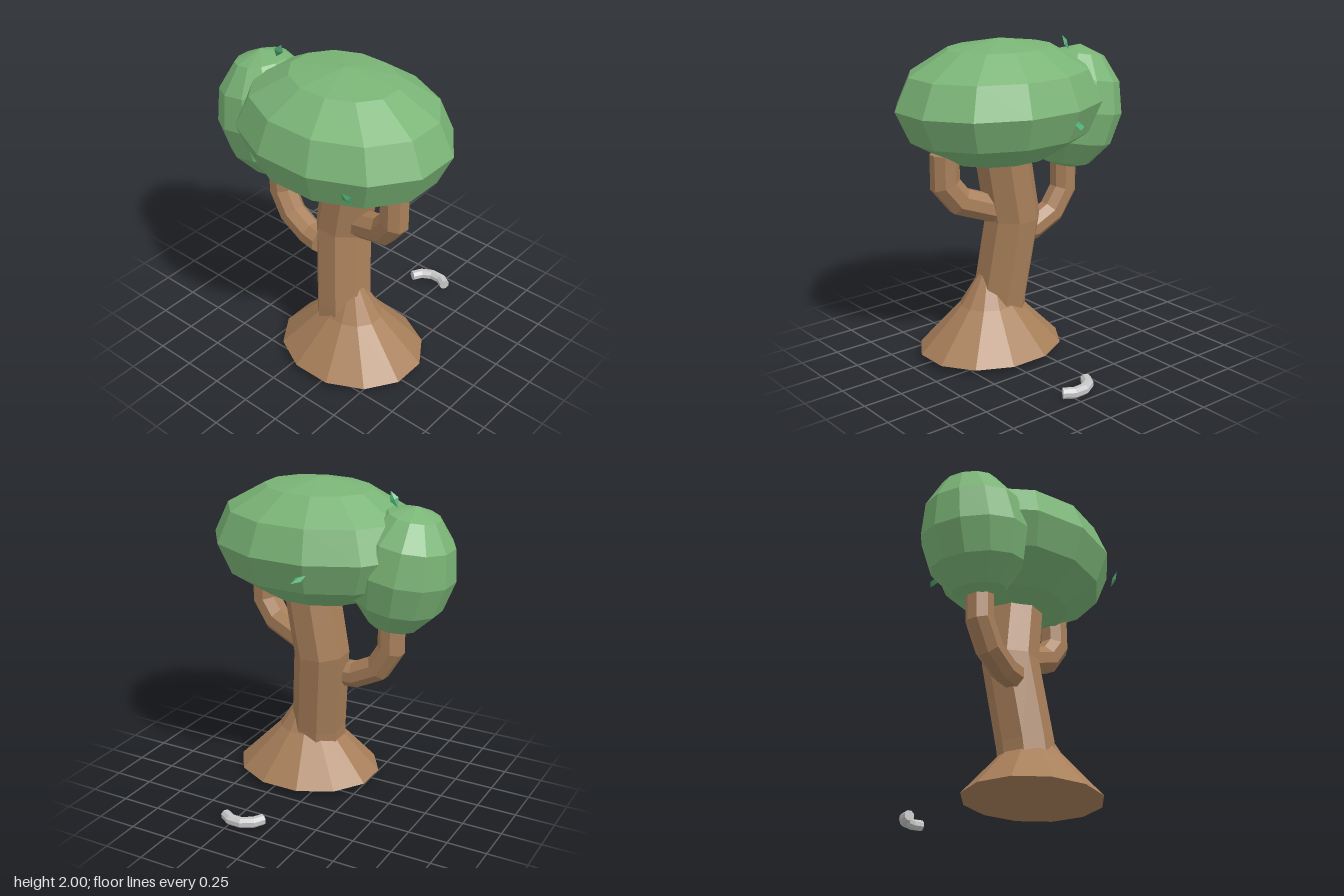
import * as THREE from 'three';

const mat = (name, color) => {
  const m = new THREE.MeshStandardMaterial({ color, flatShading: true });
  m.name = name;
  return m;
};

// Polygonal tube along a polyline: each ring is slid along its segment to the mitre plane of the next joint.
function branchGeometry(path, radius, sides, phase = 0) {
  const pts = path.map(p => new THREE.Vector3(...p));
  const dirs = pts.slice(1).map((p, i) => p.clone().sub(pts[i]).normalize());
  const side = Math.abs(dirs[0].z) > 0.6 ? new THREE.Vector3(0, 1, 0) : new THREE.Vector3(0, 0, 1);
  const u = dirs[0].clone().cross(side).normalize();
  const v = dirs[0].clone().cross(u);
  let ring = [];
  for (let k = 0; k < sides; k++) {
    const a = phase + (k / sides) * Math.PI * 2;
    ring.push(pts[0].clone().addScaledVector(u, Math.cos(a) * radius).addScaledVector(v, Math.sin(a) * radius));
  }
  const pos = [];
  const tri = (...c) => c.forEach(p => pos.push(p.x, p.y, p.z));
  for (let k = 0; k < sides; k++) tri(pts[0], ring[(k + 1) % sides], ring[k]);
  dirs.forEach((d, i) => {
    const end = pts[i + 1];
    const n = d.clone().add(dirs[i + 1] || d).normalize();
    const next = ring.map(p => p.clone().addScaledVector(d, end.clone().sub(p).dot(n) / d.dot(n)));
    for (let k = 0; k < sides; k++) {
      const j = (k + 1) % sides;
      tri(ring[k], ring[j], next[j]);
      tri(ring[k], next[j], next[k]);
    }
    ring = next;
  });
  const last = pts[pts.length - 1];
  for (let k = 0; k < sides; k++) tri(last, ring[k], ring[(k + 1) % sides]);
  const g = new THREE.BufferGeometry();
  g.setAttribute('position', new THREE.Float32BufferAttribute(pos, 3));
  g.computeVertexNormals();
  return g;
}

export function createModel() {
  const bark = mat('bark brown', 0xa87f5a);
  const foliage = mat('foliage green', 0x7ab476);
  const leafGreen = mat('leaf green', 0x4fae76);
  const grey = mat('light grey', 0xc6c6c6);

  const group = new THREE.Group();
  group.name = 'tree';
  const add = (name, geometry, material, position = [0, 0, 0], rotation = [0, 0, 0]) => {
    const m = new THREE.Mesh(geometry, material);
    m.name = name;
    m.position.set(...position);
    m.rotation.set(...rotation);
    group.add(m);
    return m;
  };

  // Flared root base: wide skirt, then a steeper neck that sinks into the trunk
  const base = new THREE.LatheGeometry(
    [[0, 0.04], [0.478, 0.04], [0.2, 0.32], [0.07, 0.52], [0, 0.52]].map(p => new THREE.Vector2(...p)), 12);
  base.rotateY(Math.PI / 12);
  base.scale(1, 1, 0.87);
  add('rootBase', base, bark, [0.185, 0, 0.2]);

  // Bent trunk
  add('trunk', branchGeometry(
    [[0.115, 0.24, 0.205], [0.11, 0.36, 0.195], [0.055, 0.89, 0.13], [0.145, 1.4, 0.13]],
    0.175, 8, Math.PI / 8), bark);

  // Side branches
  add('rightBranch', branchGeometry(
    [[-0.06, 0.74, 0.21], [-0.16, 0.75, 0.2], [-0.315, 0.83, 0.19], [-0.405, 0.975, 0.18], [-0.405, 1.25, 0.18]],
    0.085, 8, Math.PI / 8), bark);
  add('leftBranch', branchGeometry(
    [[0.12, 0.945, 0.14], [0.22, 0.965, 0.15], [0.415, 1.035, 0.19], [0.505, 1.15, 0.21], [0.505, 1.34, 0.21]],
    0.09, 8, Math.PI / 8), bark);

  // Leafy crowns: faceted spheres, the smaller one leaning outward
  const crown = (rx, ry, rz) => new THREE.SphereGeometry(1, 12, 6).rotateY(Math.PI / 12).scale(rx, ry, rz);
  add('mainCrown', crown(0.69, 0.39, 0.55), foliage, [0.105, 1.61, 0.18]);
  add('sideCrown', crown(0.32, 0.405, 0.33), foliage, [-0.475, 1.5, 0.18], [0, 0, 0.17]);

  // Loose leaves
  const leaf = new THREE.OctahedronGeometry(1).scale(0.028, 0.054, 0.012);
  add('frontLeaf', leaf, leafGreen, [0.52, 1.55, 0.65], [0.45, 0.5, 0.3]);
  add('topLeaf', leaf, leafGreen, [-0.407, 1.925, 0.165], [0.3, 0.4, -0.55]);
  add('backLeaf', leaf, leafGreen, [-0.06, 1.53, -0.365], [1.2, 0, 0.5]);

  // Curved grey piece lying on the ground behind
  add('groundArc', branchGeometry(
    [[0.07, 0.034, -0.59], [0.105, 0.034, -0.65], [0.17, 0.034, -0.687], [0.245, 0.034, -0.687], [0.302, 0.034, -0.65]],
    0.034, 8, Math.PI / 8), grey);

  return group;
}
